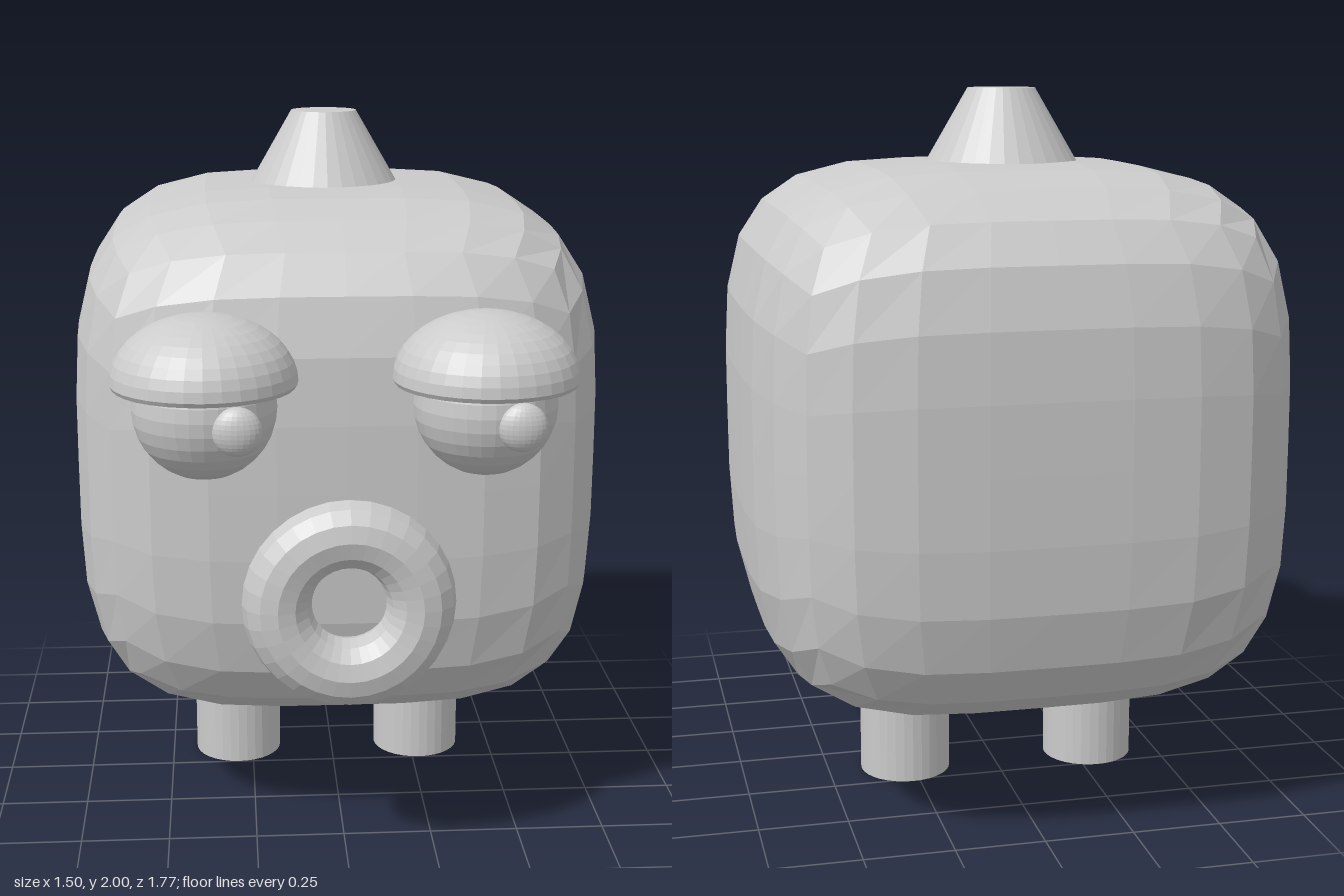
import * as THREE from 'three';

const grey = new THREE.MeshStandardMaterial({ color: 0xcccccc, flatShading: true });
const shell = new THREE.MeshStandardMaterial({ color: 0xcccccc, flatShading: true, side: THREE.DoubleSide });

function part(parent, name, geometry, x, y, z, material = grey) {
  const mesh = new THREE.Mesh(geometry, material);
  mesh.name = name;
  mesh.position.set(x, y, z);
  parent.add(mesh);
  return mesh;
}

// Cube grid pushed onto a rounded superellipsoid
function puffyCube(radius, power, segments) {
  const geometry = new THREE.BoxGeometry(2, 2, 2, segments, segments, segments);
  const p = geometry.attributes.position;
  const v = new THREE.Vector3();
  for (let i = 0; i < p.count; i++) {
    v.fromBufferAttribute(p, i);
    const sum = Math.abs(v.x) ** power + Math.abs(v.y) ** power + Math.abs(v.z) ** power;
    v.multiplyScalar(radius / sum ** (1 / power));
    p.setXYZ(i, v.x, v.y, v.z);
  }
  geometry.computeVertexNormals();
  return geometry;
}

// Thin domed lid: inner surface, small rolled rim, outer surface
function lidGeometry() {
  const points = [];
  const steps = 10;
  for (let i = 0; i <= steps; i++) {
    const a = (1 - i / steps) * Math.PI / 2;
    points.push(new THREE.Vector2(0.222 * Math.cos(a), 0.17 * Math.sin(a)));
  }
  points.push(new THREE.Vector2(0.238, 0));
  for (let i = 0; i <= steps; i++) {
    const a = i / steps * Math.PI / 2;
    points.push(new THREE.Vector2(0.245 * Math.cos(a), 0.012 + 0.178 * Math.sin(a)));
  }
  return new THREE.LatheGeometry(points, 32);
}

export function createModel() {
  const model = new THREE.Group();
  model.name = 'blockCreature';

  part(model, 'body', puffyCube(0.75, 4, 8), 0, 1.05, -0.14);
  part(model, 'topHorn', new THREE.CylinderGeometry(0.095, 0.217, 0.21, 32), -0.02, 1.895, -0.145);

  // Legs
  for (const [name, x] of [['rightLeg', -0.295], ['leftLeg', 0.27]]) {
    part(model, name, new THREE.CylinderGeometry(0.132, 0.132, 0.45, 32), x, 0.225, -0.133);
  }

  // Eyes with pupils and drooping lids
  for (const [name, x, pupilX] of [['rightEye', -0.375, 0.083], ['leftEye', 0.36, 0.07]]) {
    const eye = new THREE.Group();
    eye.name = name;
    eye.position.set(x, 1.305, 0.64);
    model.add(eye);
    part(eye, 'eyeball', new THREE.SphereGeometry(0.19, 32, 16), 0, 0, 0);
    part(eye, 'pupil', new THREE.SphereGeometry(0.064, 24, 16), pupilX, -0.022, 0.179).scale.z = 0.57;
    part(eye, 'eyelid', lidGeometry(), 0, 0.055, 0, shell);
  }

  // Ring mouth
  part(model, 'mouth', new THREE.TorusGeometry(0.193, 0.093, 12, 32), 0, 0.775, 0.692).scale.z = 0.93;

  return model;
}
